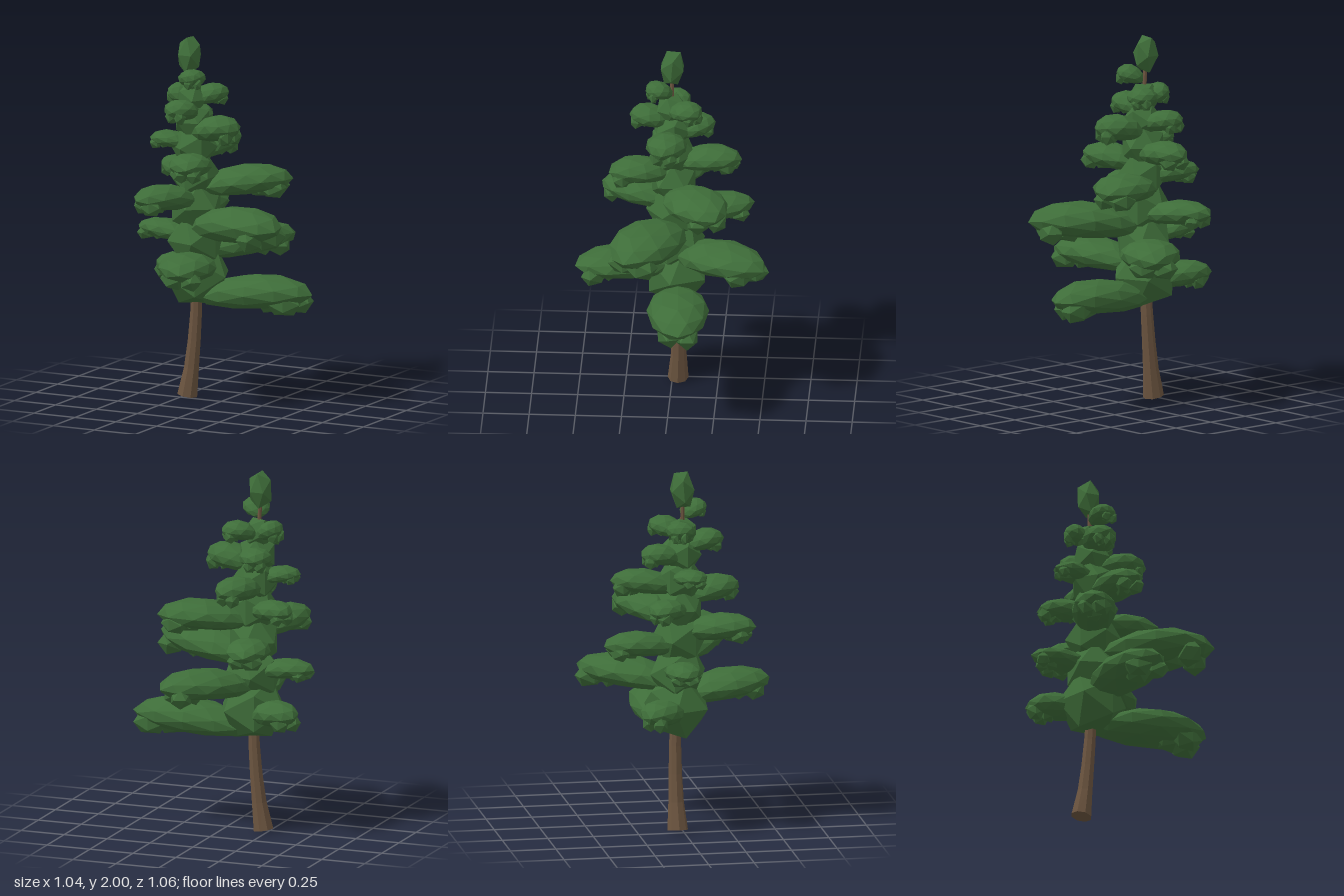
import * as THREE from 'three';

const needles = new THREE.MeshStandardMaterial({ color: 0x3e6d39, flatShading: true });
needles.name = 'needle green';
const bark = new THREE.MeshStandardMaterial({ color: 0x6b543f, flatShading: true });
bark.name = 'bark brown';

// Centre line of the leaning trunk
const spine = new THREE.CatmullRomCurve3([
  [-0.224, 0.015, -0.032], [-0.197, 0.2, -0.037], [-0.17, 0.52, -0.036],
  [-0.16, 0.9, -0.02], [-0.165, 1.3, -0.01], [-0.18, 1.6, 0], [-0.195, 1.86, 0],
].map((p) => new THREE.Vector3(...p)));

function spineAt(y) {
  let lo = 0, hi = 1;
  for (let i = 0; i < 24; i++) {
    const mid = (lo + hi) / 2;
    if (spine.getPoint(mid).y < y) lo = mid; else hi = mid;
  }
  return spine.getPoint(lo);
}

function add(parent, geometry, material, name) {
  const mesh = new THREE.Mesh(geometry, material);
  mesh.name = name;
  parent.add(mesh);
  return mesh;
}

// Moves every vertex of a geometry by a rule
function reshape(geometry, rule) {
  const pos = geometry.attributes.position;
  const v = new THREE.Vector3();
  for (let i = 0; i < pos.count; i++) {
    rule(v.fromBufferAttribute(pos, i));
    pos.setXYZ(i, v.x, v.y, v.z);
  }
  geometry.computeVertexNormals();
  return geometry;
}

function makeTrunk() {
  const height = 1.84;
  const geometry = new THREE.CylinderGeometry(1, 1, height, 8, 12);
  return reshape(geometry, (v) => {
    const y = v.y + height / 2 + 0.015;
    const c = spineAt(y);
    const r = 0.041 * (1 - 0.75 * y / height) + 0.018 * Math.exp(-y / 0.12);
    const tilt = -0.2 * v.x * r * Math.exp(-y / 0.2);
    v.set(c.x + v.x * r, y + tilt, c.z + v.z * r);
  });
}

// Petal-shaped foliage mass rising from the trunk to a tip, with small clumps tucked under its end
function makeBough([tipX, tipZ, low, high, width], index) {
  const bough = new THREE.Group();
  bough.name = 'bough' + (index + 1);
  const rise = high - low;
  const root = spineAt((low + high) / 2);
  const dx = tipX - root.x, dz = tipZ - root.z;
  const length = Math.hypot(dx, dz);
  bough.position.set(root.x, low, root.z);
  bough.rotation.y = Math.atan2(-dz, dx);

  const mass = new THREE.IcosahedronGeometry(1, 1).rotateX(index * 1.3);
  reshape(mass, (v) => {
    const u = v.x;
    const arch = rise * (0.53 + 0.14 * u - 0.12 * u * u);
    const taper = 1 - 0.22 * Math.max(u, 0) ** 2;
    v.set(length * (0.51 + 0.49 * u), arch + v.y * rise * 0.45, v.z * width * (0.515 + 0.05 * u) * taper);
  });
  add(bough, mass, needles, 'boughFoliage');

  [[0.83, -0.15], [0.79, 0.16], [0.66, 0]].forEach(([t, side], k) => {
    const clump = add(bough, new THREE.IcosahedronGeometry(1, 0), needles, 'hangingClump');
    clump.position.set(length * t, rise * 0.32, width * side);
    clump.scale.set(length * 0.15, rise * 0.35, width * 0.2);
    clump.rotation.y = (index + k) * 0.3;
  });
  return bough;
}

export function createModel() {
  const tree = new THREE.Group();
  tree.name = 'pineTree';
  add(tree, makeTrunk(), bark, 'trunk');

  // Inner foliage wrapped around the trunk: height, radius, half height
  [[0.69, 0.19, 0.19], [0.88, 0.165, 0.165], [1.07, 0.155, 0.16], [1.24, 0.14, 0.14],
    [1.4, 0.13, 0.13], [1.54, 0.11, 0.11], [1.66, 0.09, 0.09]].forEach(([y, r, h], i) => {
    const core = add(tree, new THREE.IcosahedronGeometry(1, 0), needles, 'innerFoliage');
    core.position.copy(spineAt(y));
    core.scale.set(r, h, r);
    core.rotation.y = i * 0.9 + 0.4;
  });

  // Boughs from bottom to top: tip x, tip z, lowest y, highest y, width
  [
    [0.52, -0.07, 0.51, 0.72, 0.33], [-0.475, -0.225, 0.61, 0.77, 0.22],
    [0.01, 0.515, 0.69, 0.87, 0.31], [0.185, -0.515, 0.76, 0.95, 0.32],
    [-0.52, -0.03, 0.86, 0.98, 0.2], [0.45, 0.23, 0.9, 1.12, 0.36],
    [-0.27, -0.445, 0.98, 1.13, 0.24], [-0.315, 0.385, 1.06, 1.22, 0.24],
    [0.305, -0.26, 1.12, 1.3, 0.32], [-0.425, -0.18, 1.19, 1.32, 0.19],
    [-0.04, 0.335, 1.25, 1.4, 0.23], [-0.12, -0.385, 1.31, 1.46, 0.21],
    [-0.41, 0.05, 1.38, 1.48, 0.18], [0.125, 0.04, 1.43, 1.59, 0.22],
    [-0.25, -0.235, 1.48, 1.61, 0.18], [-0.18, 0.23, 1.55, 1.68, 0.18],
    [-0.03, -0.15, 1.62, 1.74, 0.17], [-0.325, -0.04, 1.62, 1.74, 0.16],
    [-0.1, 0.13, 1.73, 1.84, 0.15],
  ].forEach((spec, i) => tree.add(makeBough(spec, i)));

  // Pointed tuft at the very top
  const crown = add(tree, new THREE.IcosahedronGeometry(1, 0), needles, 'crownTuft');
  crown.position.set(-0.195, 1.9, -0.002);
  crown.scale.set(0.072, 0.115, 0.072);
  crown.rotation.set(-0.08, Math.PI / 2, 0);
  return tree;
}
